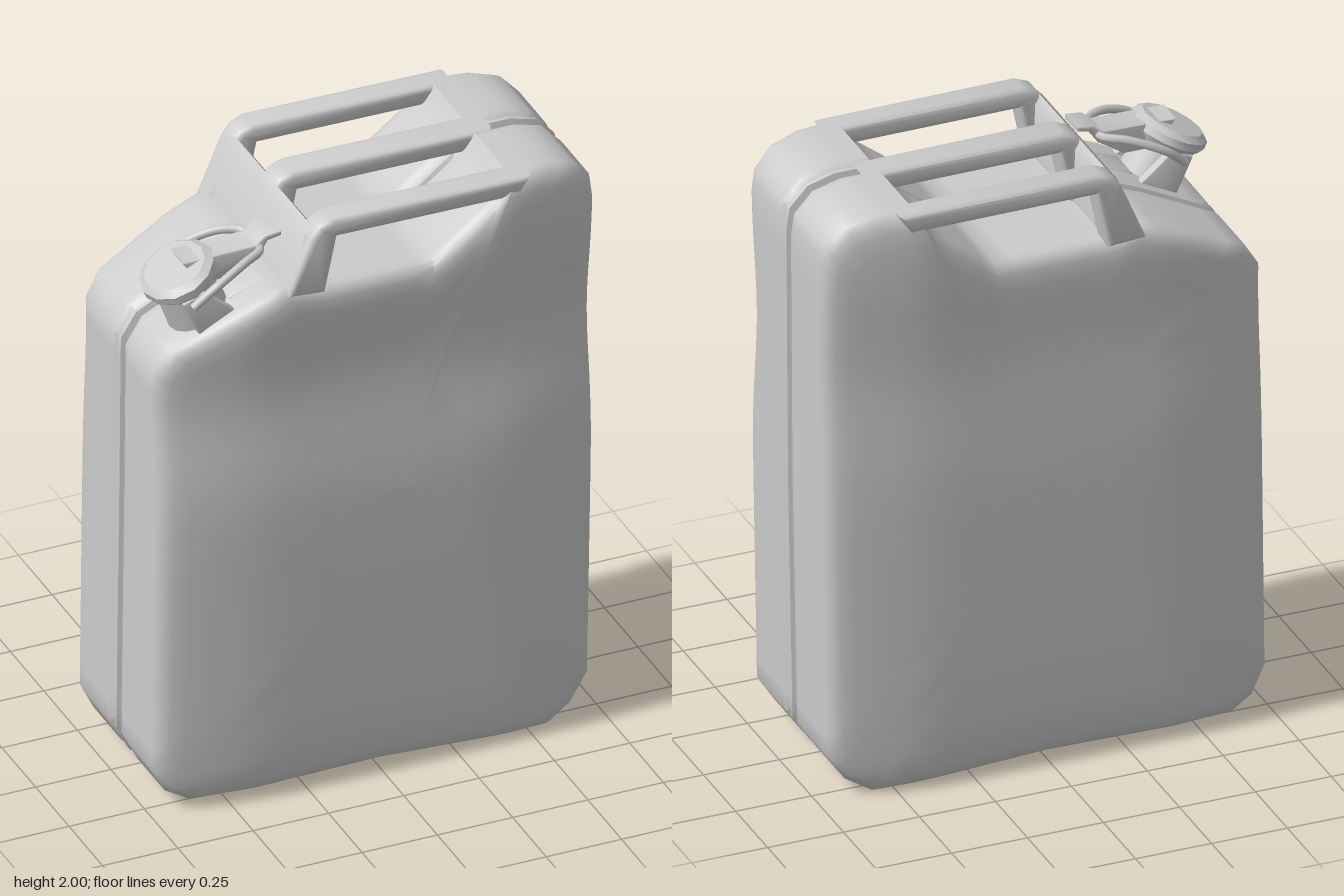
import * as THREE from 'three';
import { toCreasedNormals } from 'three/addons/utils/BufferGeometryUtils.js';

const material = new THREE.MeshStandardMaterial({ color: 0xcccccc, side: THREE.DoubleSide });

function addMesh(parent, name, geometry) {
  const mesh = new THREE.Mesh(geometry, material);
  mesh.name = name;
  parent.add(mesh);
  return mesh;
}

// Polygon in the xy plane, extruded about z with rounded edges inside its outline
function plate(points, width, bevel) {
  const shape = new THREE.Shape(points.map(([x, y]) => new THREE.Vector2(x, y)));
  const geo = new THREE.ExtrudeGeometry(shape, {
    depth: width - 2 * bevel, bevelEnabled: true, bevelSize: bevel,
    bevelThickness: bevel, bevelOffset: -bevel, bevelSegments: 3,
  });
  geo.translate(0, 0, bevel - width / 2);
  return toCreasedNormals(geo, 0.7);
}

// Side outline of the tank, counter-clockwise, with the handle well at the top
const outline = [
  [-0.62, 0.02], [0, 0.03], [0.57, 0.0], [0.65, 0.05], [0.71, 0.14], [0.725, 1], [0.73, 1.83],
  [0.72, 1.9], [0.66, 1.965], [0.57, 1.99], [0.44, 1.99], [0.39, 1.92], [0.18, 1.76],
  [-0.2, 1.76], [-0.31, 1.78], [-0.43, 1.73], [-0.67, 1.61], [-0.72, 1.53], [-0.725, 1.0],
  [-0.735, 0.15], [-0.69, 0.06],
];

// Tank: the outline lofted through z, with a centre seam and softly domed faces
function tankGeometry() {
  const loop = [];
  outline.forEach(([x, y], i) => {
    const [u, v] = outline[(i + 1) % outline.length];
    const n = Math.ceil(Math.hypot(u - x, v - y) / 0.07);
    for (let k = 0; k < n; k++) loop.push([x + (u - x) * k / n, y + (v - y) * k / n]);
  });
  // scale of the outline and its depth, from the seam outwards
  const half = [
    [1, 0.007], [0.978, 0.014], [0.978, 0.02], [0.998, 0.04], [1, 0.06], [1, 0.17], [1, 0.295],
    [0.993, 0.318], [0.975, 0.337], [0.94, 0.347], [0.88, 0.352], [0.8, 0.355], [0.65, 0.357],
    [0.5, 0.358], [0.33, 0.358], [0.16, 0.358], [0.001, 0.358],
  ];
  const rings = [...half.map(([s, z]) => [s, -z]).reverse(), ...half];
  const pos = [], index = [], n = loop.length;
  const cx = 0.05, cy = 1.0;
  rings.forEach(([s, z0], r) => {
    loop.forEach(([px, py], i) => {
      const x = cx + (px - cx) * s, y = cy + (py - cy) * s;
      // faces thin towards the sides and dip slightly above mid height
      const taper = 0.04 * Math.max(0, (Math.abs(x) - 0.42) / 0.3);
      const dip = (z0 > 0 ? 0.04 : 0.018) * Math.exp(-(((y - 1.42) / 0.25) ** 2));
      const w = THREE.MathUtils.smoothstep(Math.abs(z0), 0.2, 0.33);
      pos.push(x, y, z0 - Math.sign(z0) * w * (taper + dip));
      if (r < rings.length - 1) {
        const a = r * n + i, b = r * n + (i + 1) % n;
        index.push(a, b, b + n, a, b + n, a + n);
      }
    });
  });
  const geo = new THREE.BufferGeometry();
  geo.setAttribute('position', new THREE.Float32BufferAttribute(pos, 3));
  geo.setIndex(index);
  return toCreasedNormals(geo, 0.75);
}

export function createModel() {
  const model = new THREE.Group();
  model.name = 'fuelCan';
  addMesh(model, 'tank', tankGeometry());

  // Three parallel carrying bars, each with a sloping post
  const handles = new THREE.Group();
  handles.name = 'handles';
  model.add(handles);
  const bar = [
    [-0.315, 1.75], [-0.235, 1.94], [-0.205, 1.98], [-0.16, 1.998], [0.5, 1.99],
    [0.46, 1.925], [-0.145, 1.93], [-0.185, 1.74],
  ];
  [['backHandle', -0.305, 0.095], ['middleHandle', -0.012, 0.11], ['frontHandle', 0.292, 0.095]]
    .forEach(([name, z, width]) => {
      addMesh(handles, name, plate(bar, width, 0.022)).position.z = z;
    });
  // Sloping wall joining the posts
  addMesh(handles, 'handleEndWall',
    plate([[-0.31, 1.74], [-0.24, 1.94], [-0.215, 1.965], [-0.195, 1.94], [-0.19, 1.74]], 0.62, 0.015));

  // Spout on the front half of the sloping shoulder
  const spout = new THREE.Group();
  spout.name = 'spout';
  spout.position.z = 0.155;
  model.add(spout);
  const tilt = 0.46;

  const neck = addMesh(spout, 'neck', toCreasedNormals(new THREE.CylinderGeometry(0.085, 0.105, 0.18, 16), 0.7));
  neck.position.set(-0.555, 1.715, 0);
  neck.rotation.z = tilt;

  const lidProfile = [[0, -0.035], [0.1, -0.035], [0.122, -0.01], [0.122, 0.015], [0.1, 0.032], [0, 0.036]];
  const lid = addMesh(spout, 'lid', toCreasedNormals(
    new THREE.LatheGeometry(lidProfile.map(([r, y]) => new THREE.Vector2(r, y)), 12), 0.6));
  lid.position.set(-0.595, 1.815, 0);
  lid.rotation.z = tilt;
  lid.scale.z = 1.08;

  // Locking lever with its thumb tab
  addMesh(spout, 'lever', plate([
    [-0.6, 1.875], [-0.36, 1.88], [-0.33, 1.905], [-0.275, 1.912], [-0.275, 1.896],
    [-0.32, 1.888], [-0.345, 1.845], [-0.43, 1.79], [-0.55, 1.79],
  ], 0.1, 0.005));

  // Lever arms and hinge lugs, one on each side
  [-1, 1].forEach((side) => {
    const path = new THREE.CatmullRomCurve3([
      [-0.6, 1.76, 0.125], [-0.53, 1.82, 0.135], [-0.42, 1.865, 0.105], [-0.35, 1.87, 0.06], [-0.35, 1.87, 0],
    ].map(([x, y, z]) => new THREE.Vector3(x, y, z * side)));
    addMesh(spout, 'leverArm', new THREE.TubeGeometry(path, 16, 0.014, 6));
    const lug = addMesh(spout, 'hingeLug',
      plate([[-0.63, 1.77], [-0.56, 1.8], [-0.49, 1.74], [-0.44, 1.7], [-0.57, 1.64]], 0.03, 0.005));
    lug.position.z = 0.1 * side;
  });

  // Catch bracket between the neck and the handles
  addMesh(spout, 'catchBracket',
    plate([[-0.47, 1.69], [-0.45, 1.725], [-0.32, 1.775], [-0.3, 1.76], [-0.42, 1.7]], 0.12, 0.005));

  return model;
}
